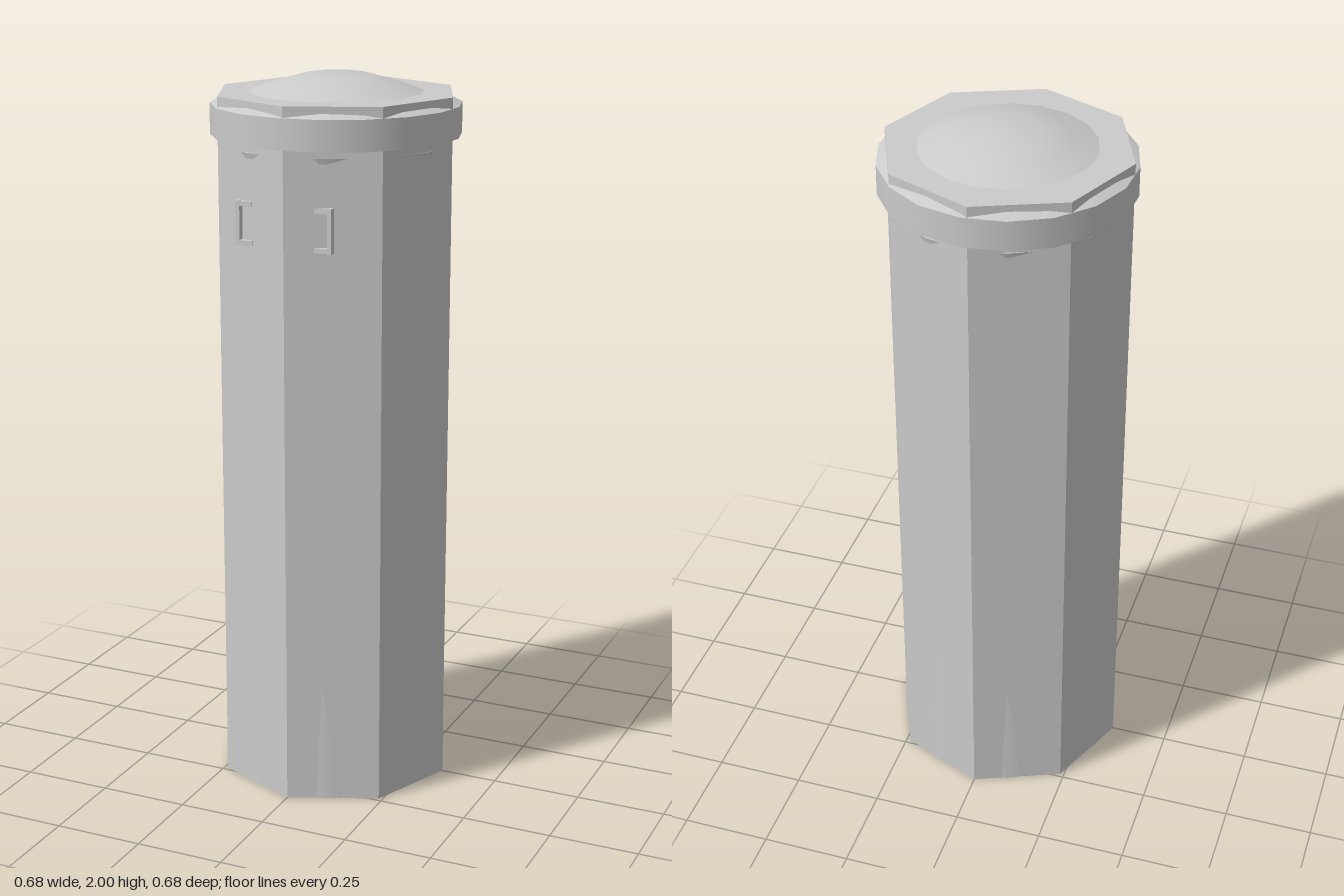
import * as THREE from 'three';

const material = new THREE.MeshStandardMaterial({ color: 0xcccccc });
const flat = new THREE.MeshStandardMaterial({ color: 0xcccccc, flatShading: true });
const TURN = THREE.MathUtils.degToRad(-3.3); // twist shared by the 18-sided parts

export function createModel() {
  const model = new THREE.Group();

  const add = (name, geometry, mat = material, parent = model) => {
    const mesh = new THREE.Mesh(geometry, mat);
    mesh.name = name;
    parent.add(mesh);
    return mesh;
  };

  // 18-sided band between two heights
  const band = (name, rTop, rBottom, y0, y1, open = false) => {
    const g = new THREE.CylinderGeometry(rTop, rBottom, y1 - y0, 18, 1, open, TURN);
    add(name, g.translate(0, (y0 + y1) / 2, 0));
  };

  // Octagonal column
  add('column', new THREE.CylinderGeometry(0.338, 0.338, 1.952, 8).translate(0, 0.976, 0), flat);

  // Round foot showing slightly through the column faces
  band('foot', 0.313, 0.318, 0.001, 0.42);

  // Collar under the top, with a bevelled upper edge and a thin bead below
  band('collar', 0.343, 0.343, 1.838, 1.922);
  band('collarBevel', 0.31, 0.343, 1.922, 1.935, true);
  band('bead', 0.319, 0.315, 1.803, 1.818);

  // Shallow domed lid
  const profile = [[0.243, 1.95], [0.17, 1.975], [0.09, 1.998], [0, 2]]
    .map(([r, y]) => new THREE.Vector2(r, y));
  add('lid', new THREE.LatheGeometry(profile, 18, TURN));

  // Bracket handles, facing sideways from the two front faces
  for (const [side, x, z] of [[1, 0.118, 0.3], [-1, 0.155, 0.286]]) {
    const handle = new THREE.Group();
    handle.name = side > 0 ? 'leftHandle' : 'rightHandle';
    add('grip', new THREE.BoxGeometry(0.012, 0.12, 0.018), flat, handle);
    for (const end of [1, -1]) {
      const arm = add('arm', new THREE.BoxGeometry(0.045, 0.013, 0.018), flat, handle);
      arm.position.set(-side * 0.02, end * 0.0525, 0);
    }
    handle.position.set(side * x, 1.63, z);
    model.add(handle);
  }

  return model;
}
